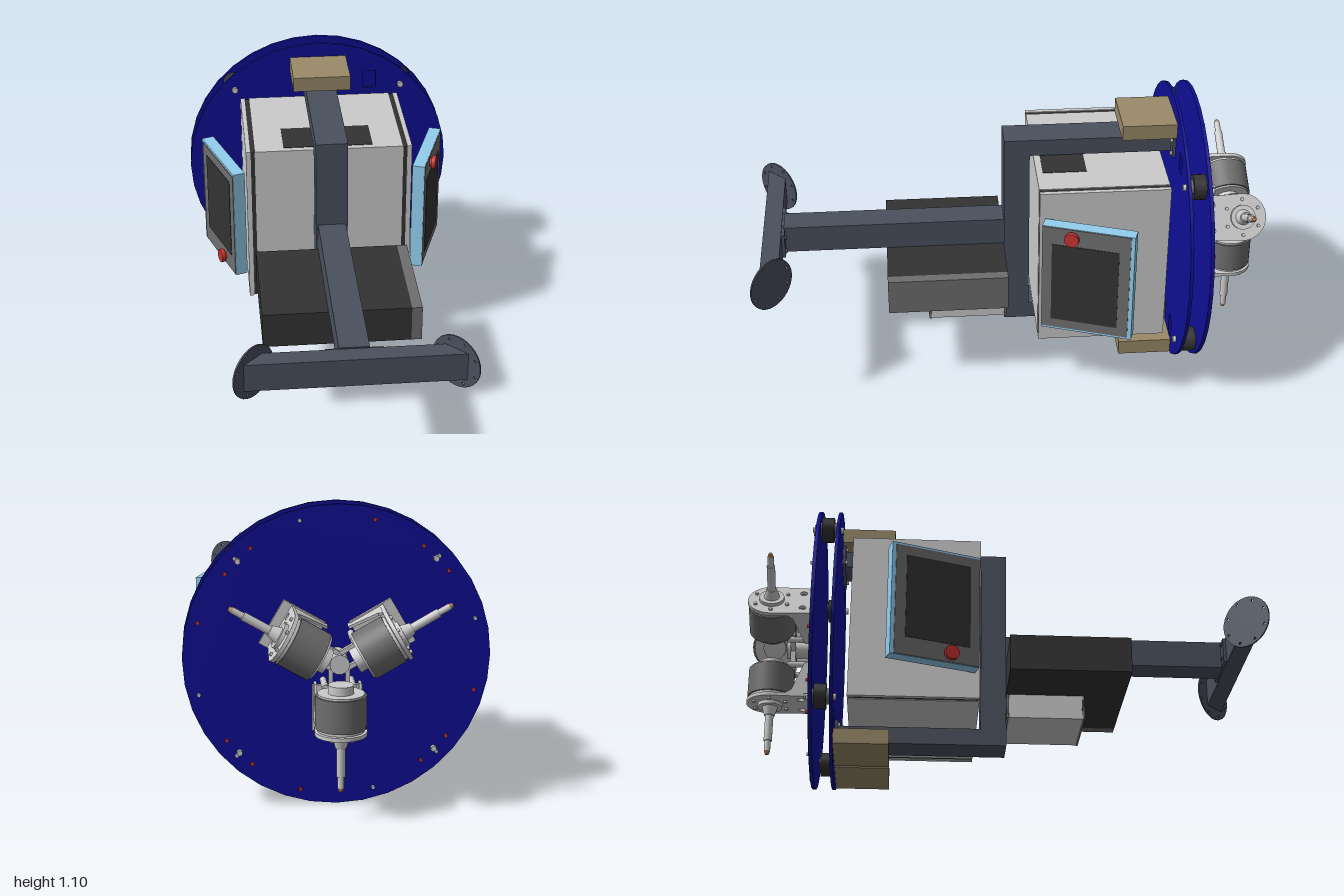
import * as THREE from 'three';

const mat = (color) => new THREE.MeshStandardMaterial({ color });
const M = {
  grey: mat(0xcccccc), dark: mat(0x6e6e6e), black: mat(0x333333), slate: mat(0x4a505e),
  navy: mat(0x0f0f94), tan: mat(0x998a68), blue: mat(0x93cfee), red: mat(0xc83232),
  copper: mat(0xb08860),
};
const CY = 0.553; // height of the machine's axis

function add(parent, name, geo, m, x = 0, y = 0, z = 0) {
  const mesh = new THREE.Mesh(geo, m);
  mesh.name = name;
  mesh.position.set(x, y, z);
  parent.add(mesh);
  return mesh;
}
// box given by its limits on each axis
function box(parent, name, m, x0, x1, y0, y1, z0, z1) {
  return add(parent, name, new THREE.BoxGeometry(x1 - x0, y1 - y0, z1 - z0), m,
    (x0 + x1) / 2, (y0 + y1) / 2, (z0 + z1) / 2);
}
// cylinder along x from a to b, or along z
const cylX = (r, a, b, n = 24, r2 = r) =>
  new THREE.CylinderGeometry(r2, r, b - a, n).rotateZ(-Math.PI / 2).translate((a + b) / 2, 0, 0);
const cylZ = (r, a, b, n = 16) =>
  new THREE.CylinderGeometry(r, r, b - a, n).rotateX(Math.PI / 2).translate(0, 0, (a + b) / 2);
const extrude = (shape, depth) =>
  new THREE.ExtrudeGeometry(shape, { depth, bevelEnabled: false, curveSegments: 16 });
const poly = (pts) => new THREE.Shape(pts.map(([x, y]) => new THREE.Vector2(x, y)));
const hole = (x, y, r) => new THREE.Path().absarc(x, y, r, 0, Math.PI * 2, true);

function discShape(slots) {
  const pts = [];
  for (let i = 0; i < 36; i++) {
    const a = (i * Math.PI) / 18;
    pts.push([0.55 * Math.cos(a), 0.55 * Math.sin(a)]);
  }
  const s = poly(pts);
  for (const [x, y] of slots) {
    s.holes.push(new THREE.Path([[x, y], [x, y + 0.075], [x + 0.055, y + 0.075], [x + 0.055, y]]
      .map(([a, b]) => new THREE.Vector2(a, b))));
  }
  return s;
}

function buildDiscs(g) {
  add(g, 'frontDisc', extrude(discShape([[0.19, 0.34], [0.19, -0.413], [-0.245, -0.413]]), 0.012),
    M.navy, 0, CY, -0.656);
  add(g, 'rearDisc', extrude(discShape([]), 0.014), M.navy, 0, CY, -0.734);
  // damped spacers with through bolts
  for (const x of [-0.35, 0.35]) for (const y of [0.205, 0.905]) {
    add(g, 'spacer', cylZ(0.048, -0.715, -0.668, 24), M.black, x, y);
    add(g, 'spacerFlange', cylZ(0.03, -0.72, -0.656, 16), M.dark, x, y);
    add(g, 'boltHead', cylZ(0.013, -0.644, -0.632, 8), M.grey, x, y);
    add(g, 'boltEnd', cylZ(0.011, -0.752, -0.734, 6), M.grey, x, y);
    for (const d of [-0.045, 0.045])
      add(g, 'redScrew', cylZ(0.007, -0.744, -0.734, 8), M.red, x + d, y + d * Math.sign(x * (y - CY)) * -1);
  }
  // ring of small screws on the back
  for (let i = 0; i < 12; i++) {
    const a = ((i + 0.5) * Math.PI) / 6;
    add(g, 'rimScrew', cylZ(0.007, -0.744, -0.734, 8), i % 3 ? M.grey : M.red,
      0.51 * Math.cos(a), CY + 0.51 * Math.sin(a));
  }
  // ballast blocks
  box(g, 'topBlock', M.tan, -0.117, 0.117, 0.983, 1.043, -0.645, -0.435);
  for (const s of [-1, 1])
    box(g, 'bottomBlock', M.tan, s * 0.1255 - 0.1175, s * 0.1255 + 0.1175, 0.064, 0.124, -0.645, -0.435);
}

function buildFrame(g) {
  box(g, 'post', M.slate, -0.063, 0.063, 0.14, 0.967, -0.085, 0.015);
  for (const [y0, y1] of [[0.14, 0.208], [0.9, 0.967]]) {
    box(g, 'frameArm', M.slate, -0.063, 0.063, y0, y1, -0.634, -0.085);
    const c = (y0 + y1) / 2;
    box(g, 'armFlange', M.slate, -0.103, 0.103, c - 0.041, c + 0.041, -0.644, -0.632);
    for (const x of [-0.09, 0.09]) for (const d of [-0.028, 0.028])
      add(g, 'flangeBolt', cylZ(0.008, -0.632, -0.624, 8), M.grey, x, c + d);
  }
  // front boom, crossbar and slanted end discs
  box(g, 'boom', M.slate, -0.055, 0.055, 0.5, 0.61, 0.015, 0.88);
  box(g, 'boomFlange', M.slate, -0.103, 0.103, 0.505, 0.605, 0.876, 0.89);
  for (const x of [-0.085, 0.085]) for (const y of [0.525, 0.585])
    add(g, 'boomBolt', cylZ(0.008, 0.868, 0.877, 8), M.slate, x, y);
  const bar = extrude(poly([[-0.323, 0.888], [0.323, 0.888], [0.393, 0.958], [-0.393, 0.958]]), 0.11);
  add(g, 'crossbar', bar.rotateX(Math.PI / 2), M.slate, 0, 0.61, 0);
  const plate = new THREE.Shape().absarc(0, 0, 0.103, 0, Math.PI * 2);
  for (let i = 0; i < 8; i++) {
    const a = ((i + 0.5) * Math.PI) / 4;
    plate.holes.push(hole(0.088 * Math.cos(a), 0.088 * Math.sin(a), 0.005));
  }
  for (const s of [-1, 1]) {
    const d = add(g, 'endDisc', extrude(plate, 0.006), M.slate, s * 0.357, 0.555, 0.92);
    d.rotation.y = s * (Math.PI / 4 + Math.PI / 2);
  }
}

function buildCabinet(g) {
  box(g, 'cabinet', M.grey, -0.295, 0.295, 0.222, 0.887, -0.595, -0.1);
  box(g, 'cabinetSeam', M.black, -0.312, 0.312, 0.226, 0.883, -0.591, -0.104);
  for (const s of [-1, 1])
    box(g, 'cabinetSidePanel', M.grey, s * 0.3205 - 0.0095, s * 0.3205 + 0.0095, 0.222, 0.887, -0.595, -0.1);
  box(g, 'topVent', M.black, -0.18, 0.175, 0.886, 0.889, -0.293, -0.125);

  // box slung below the boom
  box(g, 'equipmentBox', M.black, -0.305, 0.262, 0.357, 0.5, 0.015, 0.48);
  box(g, 'equipmentBoxEnd', M.dark, 0.262, 0.302, 0.357, 0.5, 0.015, 0.48);

  // small unit underneath
  box(g, 'smallUnit', M.grey, -0.068, 0.208, 0.258, 0.355, 0.025, 0.315);
  for (const z of [0.02, 0.318]) {
    box(g, 'smallUnitFrame', M.dark, -0.07, 0.21, 0.256, 0.356, z - 0.004, z + 0.004);
    box(g, 'smallUnitFace', M.grey, -0.02, 0.16, 0.275, 0.338, z - 0.006, z + 0.006);
    for (const x of [-0.045, 0.185])
      box(g, 'smallUnitGrip', M.black, x - 0.025, x + 0.025, 0.275, 0.338, z - 0.006, z + 0.006);
  }
}

// angled control panels, the right one turned upside down
function buildPanels(g) {
  for (const s of [-1, 1]) {
    const p = new THREE.Group();
    p.name = s > 0 ? 'leftControlPanel' : 'rightControlPanel';
    p.position.set(s * 0.4175, CY, -0.28);
    p.rotation.set(0, -s * 0.331, s > 0 ? 0 : Math.PI);
    box(p, 'panelCase', M.blue, -0.025, 0.024, -0.232, 0.232, -0.177, 0.177);
    box(p, 'panelFace', M.dark, 0.02, 0.027, -0.222, 0.23, -0.162, 0.175);
    box(p, 'screen', M.black, 0.024, 0.029, -0.183, 0.157, -0.12, 0.138);
    add(p, 'stopButton', cylX(0.019, 0.025, 0.036), M.red, 0, 0.197, 0.06);
    add(p, 'stopButtonCap', cylX(0.028, 0.034, 0.05), M.red, 0, 0.197, 0.06);
    g.add(p);
  }
}

// one motor with its bracket; shaft along local +x, rear disc at local z = 0
function buildMotor(angle) {
  const u = new THREE.Group();
  u.name = 'motorUnit';
  u.position.set(0, CY, -0.734);
  u.rotation.z = angle;
  const Z = -0.171;
  add(u, 'motorBody', cylX(0.09, 0.092, 0.21, 32), M.dark, 0, 0, Z);
  for (const x of [0.085, 0.207]) add(u, 'motorRing', cylX(0.083, x, x + 0.013, 32), M.grey, 0, 0, Z);
  add(u, 'motorHub', cylX(0.045, 0.055, 0.09, 20), M.grey, 0, 0, Z);
  // upright plate with rounded end, drawn in (z, y) and turned to face x
  const s = new THREE.Shape();
  s.moveTo(0, -0.085);
  s.lineTo(-Z, -0.092);
  s.absarc(-Z, 0, 0.092, -Math.PI / 2, Math.PI / 2);
  s.lineTo(0, 0.085);
  for (const y of [-0.05, 0.05]) s.holes.push(hole(0.05, y, 0.014));
  add(u, 'bracketPlate', extrude(s, 0.014).rotateY(Math.PI / 2), M.grey, 0.222, 0, 0);
  box(u, 'bracketFoot', M.grey, 0.1, 0.27, -0.09, 0.09, -0.014, 0);
  // triangular gussets
  const tri = poly([[0.09, 0], [0.228, 0], [0.228, -0.12], [0.205, -0.085], [0.09, -0.04]].reverse());
  for (const y of [-0.08, 0.08]) {
    const gusset = extrude(tri, 0.01).rotateX(Math.PI / 2);
    add(u, 'gusset', gusset, M.grey, 0, y + 0.005, 0);
  }
  // stepped shaft
  add(u, 'bearing', cylX(0.048, 0.234, 0.25), M.grey, 0, 0, Z);
  add(u, 'shaftCollar', cylX(0.03, 0.25, 0.285, 20, 0.02), M.grey, 0, 0, Z);
  add(u, 'shaft', cylX(0.016, 0.285, 0.39, 16), M.grey, 0, 0, Z);
  add(u, 'shaftEnd', cylX(0.012, 0.39, 0.432, 12), M.grey, 0, 0, Z);
  add(u, 'shaftTip', cylX(0.012, 0.432, 0.446, 12, 0.007), M.copper, 0, 0, Z);
  for (let i = 0; i < 6; i++) {
    const a = (i * Math.PI) / 3;
    add(u, 'plateBolt', cylX(0.007, 0.234, 0.244, 8), M.grey, 0, 0.07 * Math.cos(a), Z + 0.07 * Math.sin(a));
  }
  // link to the central hub
  for (const y of [-0.03, 0.03]) box(u, 'link', M.grey, 0.02, 0.1, y - 0.008, y + 0.008, -0.1, -0.08);
  for (const y of [-0.05, 0.05]) add(u, 'linkPin', cylZ(0.012, -0.11, 0, 10), M.grey, 0.085, y, 0);
  return u;
}

export function createModel() {
  const g = new THREE.Group();
  g.name = 'machine';
  buildDiscs(g);
  buildFrame(g);
  buildCabinet(g);
  buildPanels(g);
  for (const a of [Math.PI / 6, (5 * Math.PI) / 6, -Math.PI / 2]) g.add(buildMotor(a));
  add(g, 'centralHub', cylZ(0.035, -0.85, -0.734, 20), M.grey, 0, CY, 0);
  return g;
}
